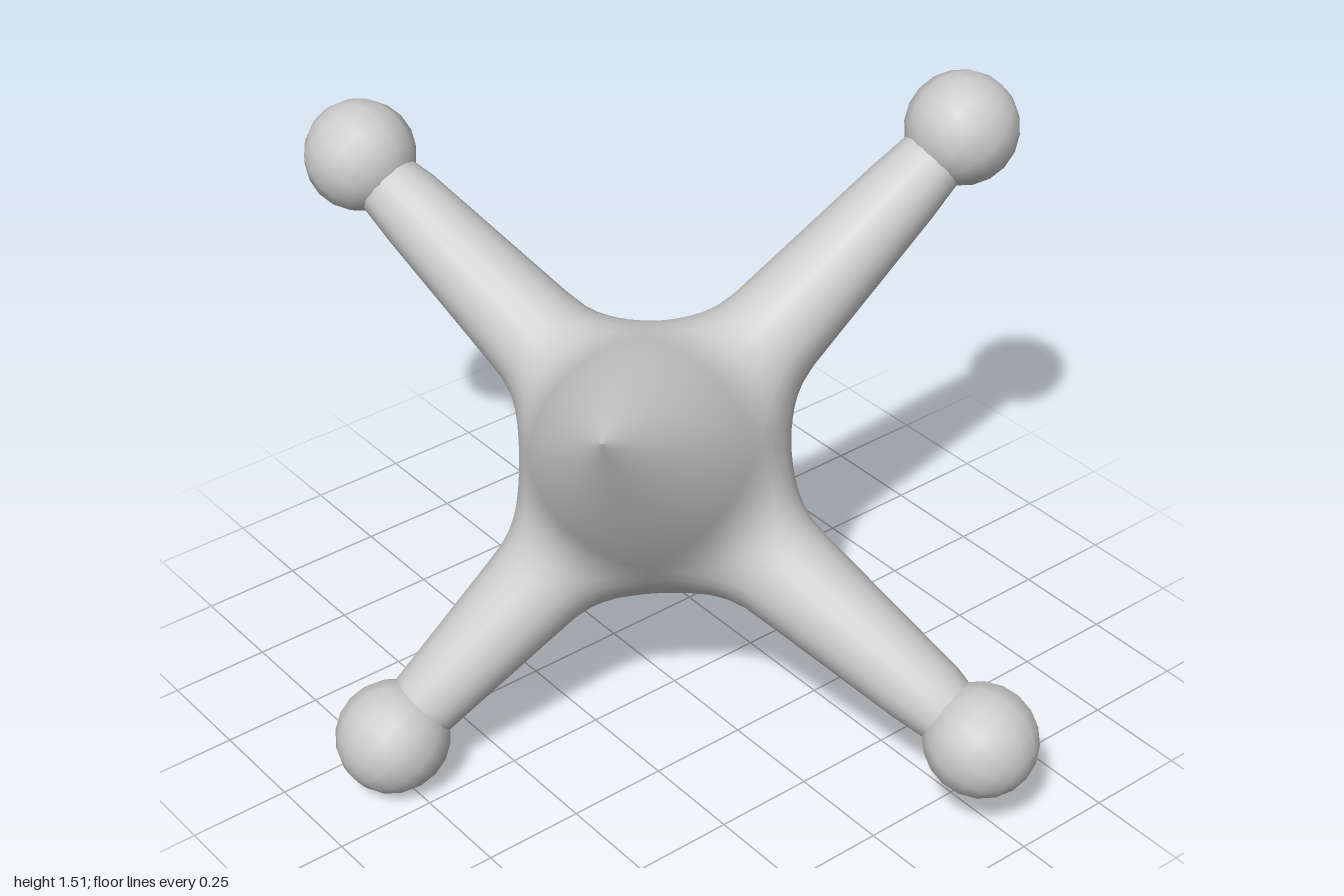
import * as THREE from 'three';
import { mergeVertices } from 'three/addons/utils/BufferGeometryUtils.js';

const V = (x, y, z) => new THREE.Vector3(x, y, z);
const CENTRE = V(-0.06, 0.71, 0);
const BALL_RADIUS = 0.138;
const CORE_RADIUS = 0.32;

// Ends of the four arms and the two spikes, in opposite pairs
const armEnds = [V(0.76, 1.38, 0.14), V(-0.765, 0.14, -0.12), V(-0.29, 1.24, -0.86), V(0.225, 0.25, 0.86)];
const spikeEnds = [V(-0.52, 1.15, 0.4), V(0.385, 0.25, -0.41)];

const limb = (end) => {
  const dir = end.clone().sub(CENTRE);
  const length = dir.length();
  return { dir: dir.normalize(), length };
};
const arms = armEnds.map(limb);
const spikes = spikeEnds.map(limb);
const limbs = [...arms, ...spikes];

// Distances from a point (relative to the centre) to an arm and to a spike
const offAxis = (p, s) => Math.sqrt(Math.max(0, p.lengthSq() - s * s));

function armDistance(p, { dir, length }) {
  const s = p.dot(dir);
  if (s < 0) return p.length() - 0.16;
  return Math.max(offAxis(p, s) - (0.16 - 0.08 * s / length), s - 0.95 * length);
}

function spikeDistance(p, { dir, length }) {
  const s = p.dot(dir);
  if (s < 0) return p.length() - CORE_RADIUS;
  return offAxis(p, s) - CORE_RADIUS * (1 - (s / length) ** 1.4);
}

function smoothMin(a, b, k) {
  const h = Math.max(k - Math.abs(a - b), 0) / k;
  return Math.min(a, b) - h * h * k / 4;
}

// Double cone of the two spikes, blended with the arms
function bodyDistance(p) {
  const core = Math.min(...spikes.map((l) => spikeDistance(p, l)));
  return arms.reduce((d, l) => smoothMin(d, armDistance(p, l), 0.12), core);
}

// Point where a ray from the centre leaves the blended body
function surfacePoint(dir) {
  let near = 0, far = 1.2;
  for (let i = 0; i < 24; i++) {
    const mid = (near + far) / 2;
    if (bodyDistance(dir.clone().multiplyScalar(mid)) < 0) near = mid;
    else far = mid;
  }
  return dir.clone().multiplyScalar(near).add(CENTRE);
}

// One patch per limb: rings spreading from its tip to a cube-face border
function bodyGeometry() {
  const ax = arms[0].dir.clone().sub(arms[1].dir).normalize();
  const az = arms[2].dir.clone().sub(arms[3].dir).normalize();
  az.addScaledVector(ax, -az.dot(ax)).normalize();
  const ay = ax.clone().cross(az);
  if (ay.dot(spikes[0].dir) < 0) ay.negate();
  const axes = [ax, az, ay];
  const rings = 18, side = 6, around = side * 4;
  const positions = [], index = [];

  limbs.forEach((l, i) => {
    const a = Math.floor(i / 2);
    const n = axes[a].clone().multiplyScalar(i % 2 ? -1 : 1);
    const u = axes[(a + 1) % 3];
    const v = n.clone().cross(u);
    const base = positions.length / 3;
    for (let r = 0; r <= rings; r++) {
      const q = (r / rings) ** 2;
      for (let j = 0; j < around; j++) {
        // Walk the square border, rounding it to a circle near the tip
        const e = -1 + 2 * (j % side) / side;
        const [x, y] = [[1, e], [-e, 1], [-1, -e], [e, -1]][Math.floor(j / side)];
        const round = q + (1 - q) / Math.hypot(x, y);
        const dir = l.dir.clone().multiplyScalar(1 - q).addScaledVector(n, q)
          .addScaledVector(u, x * q * round).addScaledVector(v, y * q * round).normalize();
        positions.push(...surfacePoint(dir).toArray());
      }
    }
    for (let r = 0; r < rings; r++) {
      for (let j = 0; j < around; j++) {
        const k = (j + 1) % around;
        const p = base + r * around + j, pk = base + r * around + k;
        if (r > 0) index.push(p, p + around, pk);
        index.push(p + around, pk + around, pk);
      }
    }
  });

  const geometry = new THREE.BufferGeometry();
  geometry.setAttribute('position', new THREE.Float32BufferAttribute(positions, 3));
  geometry.setIndex(index);
  const merged = mergeVertices(geometry, 1e-4);
  merged.computeVertexNormals();
  return merged;
}

export function createModel() {
  const group = new THREE.Group();
  const material = new THREE.MeshStandardMaterial({ color: 0xcccccc });

  // Spiked core blended with its four arms
  const body = new THREE.Mesh(bodyGeometry(), material);
  body.name = 'spikedBody';
  group.add(body);

  // Ball on the end of every arm
  const ballGeometry = new THREE.SphereGeometry(BALL_RADIUS, 14, 10);
  armEnds.forEach((end, i) => {
    const ball = new THREE.Mesh(ballGeometry, material);
    ball.name = `armBall${i + 1}`;
    ball.position.copy(end);
    ball.quaternion.setFromUnitVectors(V(0, 1, 0), arms[i].dir);
    group.add(ball);
  });
  return group;
}
